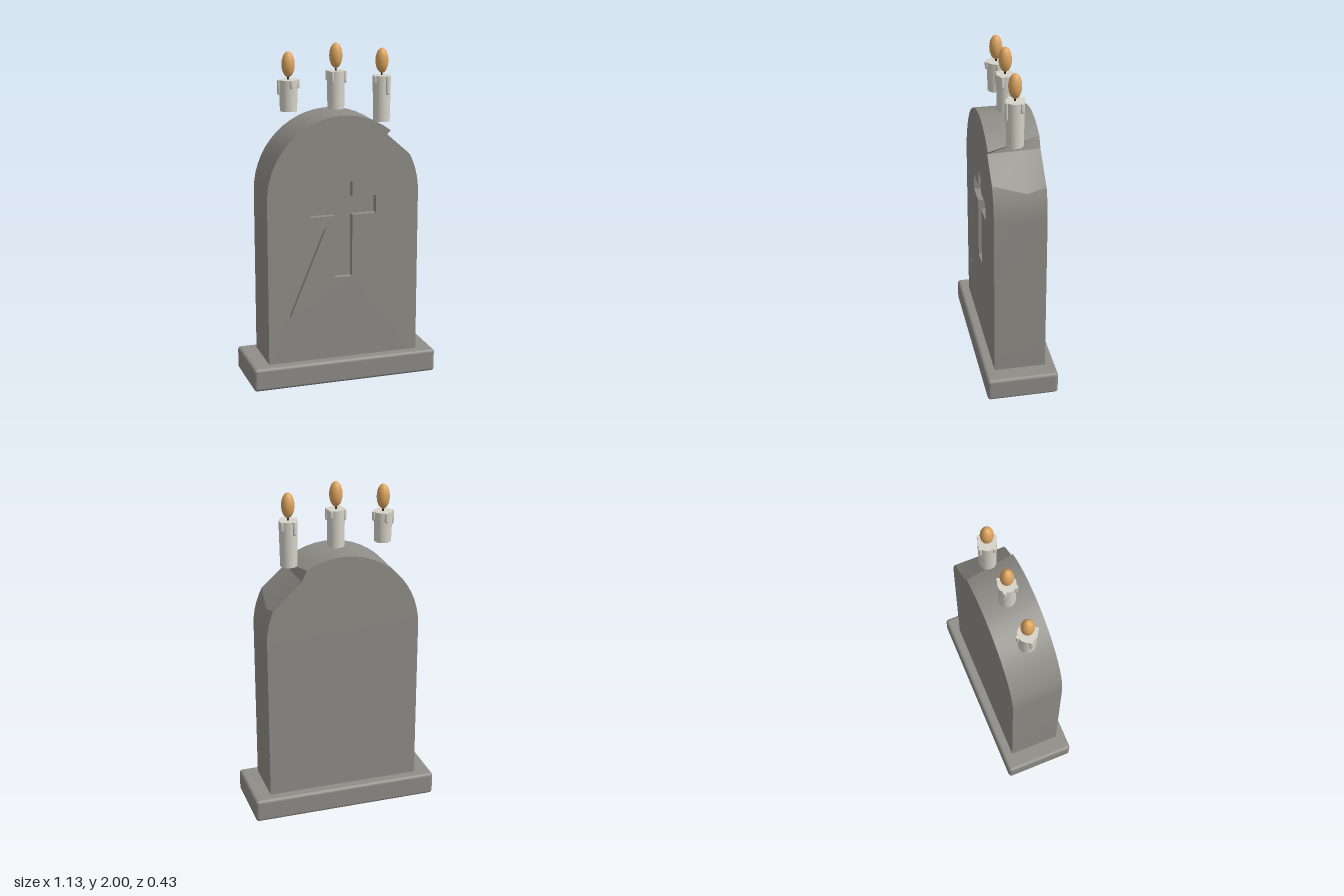
import * as THREE from 'three';
import { mergeGeometries, toCreasedNormals } from 'three/addons/utils/BufferGeometryUtils.js';
import { RoundedBoxGeometry } from 'three/addons/geometries/RoundedBoxGeometry.js';

const mat = (name, color) => {
  const m = new THREE.MeshStandardMaterial({ color });
  m.name = name;
  return m;
};
const W = 0.46, SPRING = 1.13, RISE = 0.472, FRONT = 0.153, BACK = -0.152;

function add(parent, name, geometry, material, x = 0, y = 0, z = 0) {
  const mesh = new THREE.Mesh(geometry, material);
  mesh.name = name;
  mesh.position.set(x, y, z);
  parent.add(mesh);
  return mesh;
}

// Quad strips joining closed rings of [x, y, z]
function loft(rings) {
  const pos = [];
  for (let r = 0; r < rings.length - 1; r++) {
    const a = rings[r], b = rings[r + 1];
    for (let i = 0; i < a.length; i++) {
      const j = (i + 1) % a.length;
      pos.push(...a[i], ...a[j], ...b[i], ...a[j], ...b[j], ...b[i]);
    }
  }
  const g = new THREE.BufferGeometry();
  g.setAttribute('position', new THREE.Float32BufferAttribute(pos, 3));
  return toCreasedNormals(g, 0.3);
}

// Flat face with optional holes, facing +z
function face(outline, z, holes = []) {
  const toPts = (list) => list.map(([x, y]) => new THREE.Vector2(x, y));
  const shape = new THREE.Shape(toPts(outline));
  holes.forEach((h) => shape.holes.push(new THREE.Path(toPts(h))));
  return new THREE.ShapeGeometry(shape).translate(0, 0, z);
}

// Clockwise slab outline; the arch is broken between x = chipTop and x = chipEnd
function slabOutline(chipTop, chipIn, chipEnd) {
  const pts = [[-W, 0.1]];
  const arc = (from, to, n) => {
    for (let i = 0; i <= n; i++) {
      const t = from + ((to - from) * i) / n;
      pts.push([W * Math.cos(t), SPRING + RISE * Math.sin(t)]);
    }
  };
  arc(Math.PI, Math.acos(chipTop / W), 18);
  pts.push([chipIn, 1.48]);
  arc(Math.acos(chipEnd / W), 0, 5);
  pts.push([W, 0.1]);
  return pts;
}

function buildSlab(stone) {
  const group = new THREE.Group();
  group.name = 'headstone';
  const sections = [
    [FRONT, slabOutline(0.285, 0.262, 0.405)],
    [-0.04, slabOutline(0.243, 0.255, 0.43)],
    [BACK, slabOutline(0.22, 0.25, 0.42)],
  ];
  const rings = sections.map(([z, pts]) => pts.map(([x, y]) => [x, y, z]));
  add(group, 'slabSides', loft(rings), stone);

  // Carved cross and a long scratch, both counterclockwise
  const cross = [
    [-0.055, 0.64], [0.052, 0.64], [0.052, 1.015], [0.197, 1.015], [0.197, 1.122], [0.052, 1.122],
    [0.052, 1.213], [-0.055, 1.213], [-0.055, 1.122], [-0.198, 1.122], [-0.198, 1.015], [-0.055, 1.015],
  ];
  const scratch = [[-0.345, 0.428], [-0.327, 0.418], [-0.105, 0.953], [-0.14, 0.91]];
  add(group, 'slabFront', face(sections[0][1], FRONT, [cross, scratch]), stone);

  const mirrored = sections[2][1].map(([x, y]) => [-x, y]);
  add(group, 'slabBack', face(mirrored, -BACK).rotateY(Math.PI), stone);

  [['crossCarving', cross, 0.04], ['scratch', scratch, 0.025]].forEach(([name, pts, depth]) => {
    const ring = (z) => pts.map(([x, y]) => [x, y, z]);
    add(group, name + 'Walls', loft([ring(FRONT), ring(FRONT - depth)]), stone);
    add(group, name + 'Floor', face(pts, FRONT - depth), stone);
  });
  return group;
}

// Wax drip: flat-topped rod with a rounded tip, hanging from y = 0
function dripGeometry(radius, length) {
  const profile = [new THREE.Vector2(0, -length)];
  for (let i = 1; i <= 4; i++) {
    const t = (i / 4) * (Math.PI / 2);
    profile.push(new THREE.Vector2(radius * Math.sin(t), -length + radius * (1 - Math.cos(t))));
  }
  profile.push(new THREE.Vector2(radius, 0), new THREE.Vector2(0, 0));
  return toCreasedNormals(new THREE.LatheGeometry(profile, 10), 0.6);
}

function buildCandle({ x, bottom, top, rim, drips }, wax, wick, flame) {
  const group = new THREE.Group();
  group.name = 'candle';
  group.position.set(x, 0, 0);
  const h = top - bottom;
  add(group, 'candleBody', new THREE.CylinderGeometry(rim, 0.049, h, 24), wax, 0, bottom + h / 2);
  const dripParts = drips.map(([deg, length]) => {
    const a = THREE.MathUtils.degToRad(deg);
    return dripGeometry(0.011, length).translate(rim * Math.cos(a), top, rim * Math.sin(a));
  });
  add(group, 'waxDrips', mergeGeometries(dripParts), wax);
  add(group, 'wick', new THREE.CylinderGeometry(0.005, 0.006, 0.05, 8), wick, 0, top + 0.02);
  add(group, 'flame', new THREE.SphereGeometry(0.038, 24, 16).scale(1, 1.93, 1), flame, 0, top + 0.087);
  return group;
}

export function createModel() {
  const stone = mat('stone', 0x8f8d87);
  const wax = mat('wax', 0xd6d3c8);
  const wick = mat('wick', 0x2e2823);
  const flame = mat('flame', 0xdda55f);

  const model = new THREE.Group();
  model.name = 'gravestone';
  add(model, 'plinth', new RoundedBoxGeometry(1.13, 0.14, 0.425, 3, 0.02), stone, 0, 0.072, 0);
  model.add(buildSlab(stone));

  // Drips are [angle in degrees from +x towards +z, length]
  [
    { x: -0.285, bottom: 1.62, top: 1.8, rim: 0.055, drips: [[0, 0.055], [88, 0.045], [180, 0.085], [268, 0.06]] },
    { x: 0, bottom: 1.62, top: 1.84, rim: 0.052, drips: [[28, 0.07], [130, 0.075], [215, 0.06], [318, 0.05]] },
    { x: 0.282, bottom: 1.53, top: 1.8, rim: 0.054, drips: [[70, 0.11], [155, 0.05], [245, 0.08], [325, 0.06]] },
  ].forEach((c) => model.add(buildCandle(c, wax, wick, flame)));
  return model;
}
